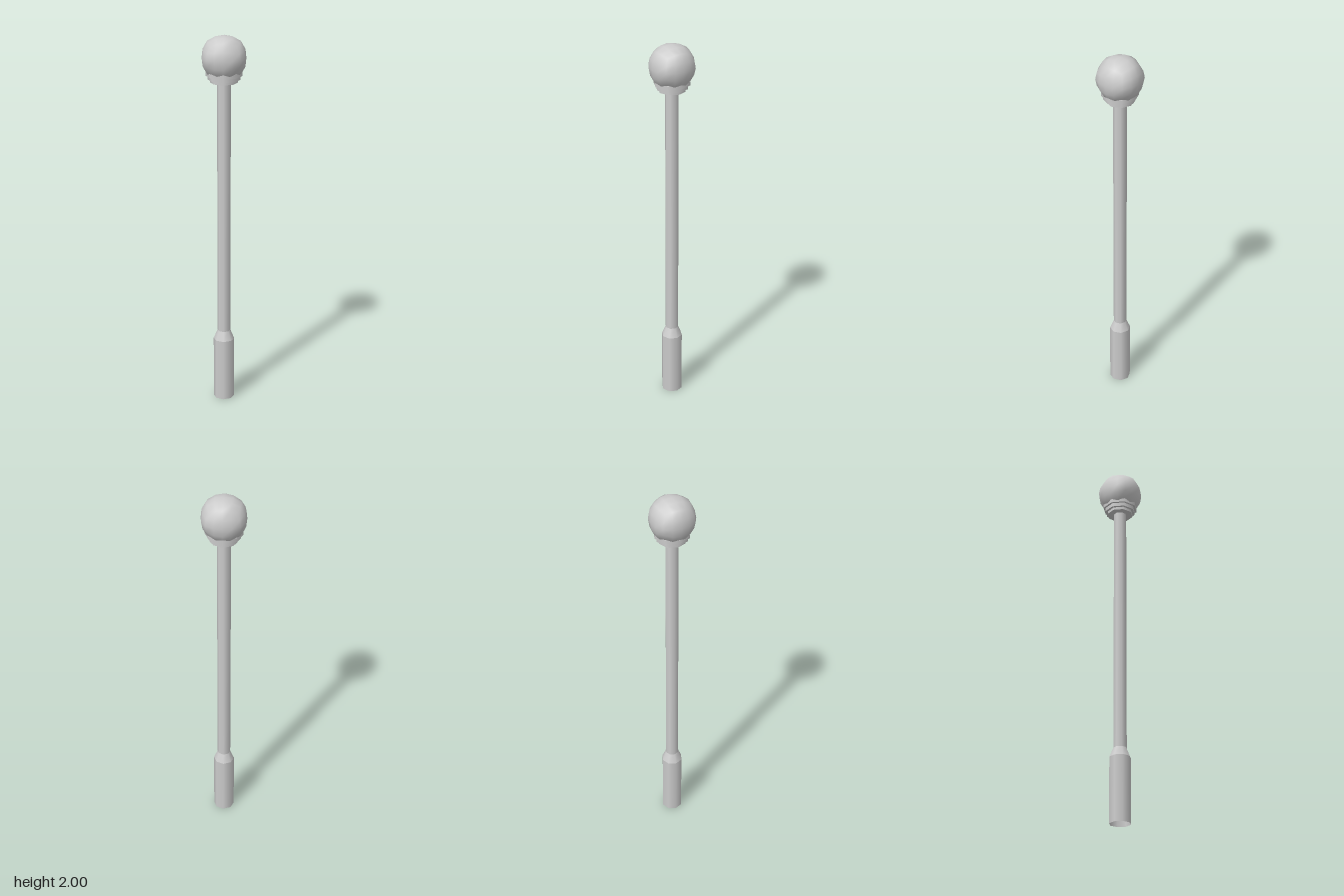
import * as THREE from 'three';
import { mergeVertices } from 'three/addons/utils/BufferGeometryUtils.js';

const SIDES = 8;
const material = new THREE.MeshStandardMaterial({ color: 0xcccccc, side: THREE.DoubleSide });

// Eight-sided section standing between two heights
function section(name, y0, y1, r0, r1, open) {
  const geometry = new THREE.CylinderGeometry(r1, r0, y1 - y0, SIDES, 1, open);
  const mesh = new THREE.Mesh(geometry, material);
  mesh.name = name;
  mesh.position.y = (y0 + y1) / 2;
  return mesh;
}

// Cube with four segments per edge, swollen into a slightly squarish ball
function globeGeometry(radius) {
  let geometry = new THREE.BoxGeometry(2, 2, 2, 4, 4, 4);
  geometry.deleteAttribute('uv');
  geometry.deleteAttribute('normal');
  geometry = mergeVertices(geometry);
  const pos = geometry.attributes.position;
  const v = new THREE.Vector3();
  for (let i = 0; i < pos.count; i++) {
    v.fromBufferAttribute(pos, i);
    // even angular spacing across each face
    v.set(...v.toArray().map((c) => Math.tan((c * Math.PI) / 4))).normalize();
    const [a, b, c] = v.toArray().map((n) => n * n);
    // edges bulge past the face centres, corners a little less
    const bulge = 1 + 0.28 * (a * b + b * c + c * a) - 1.7 * a * b * c;
    v.multiplyScalar(radius * bulge);
    pos.setXYZ(i, v.x, v.y, v.z);
  }
  geometry.computeVertexNormals();
  return geometry;
}

export function createModel() {
  const model = new THREE.Group();
  model.name = 'lampPost';

  // Hollow post: wide foot, taper, slim pole
  model.add(
    section('foot', 0, 0.345, 0.056, 0.056, true),
    section('taper', 0.345, 0.395, 0.056, 0.035, true),
    section('pole', 0.395, 1.77, 0.035, 0.035, true)
  );

  // Stepped collar, widening upward
  const collar = new THREE.Group();
  collar.name = 'collar';
  [[1.76, 1.775, 0.07], [1.775, 1.795, 0.083], [1.795, 1.815, 0.094]].forEach(([y0, y1, r]) =>
    collar.add(section('collarRing', y0, y1, r, r, false))
  );
  model.add(collar);

  // Globe resting in the collar
  const globe = new THREE.Mesh(globeGeometry(0.113), material);
  globe.name = 'globe';
  globe.position.y = 1.887;
  model.add(globe);

  return model;
}
